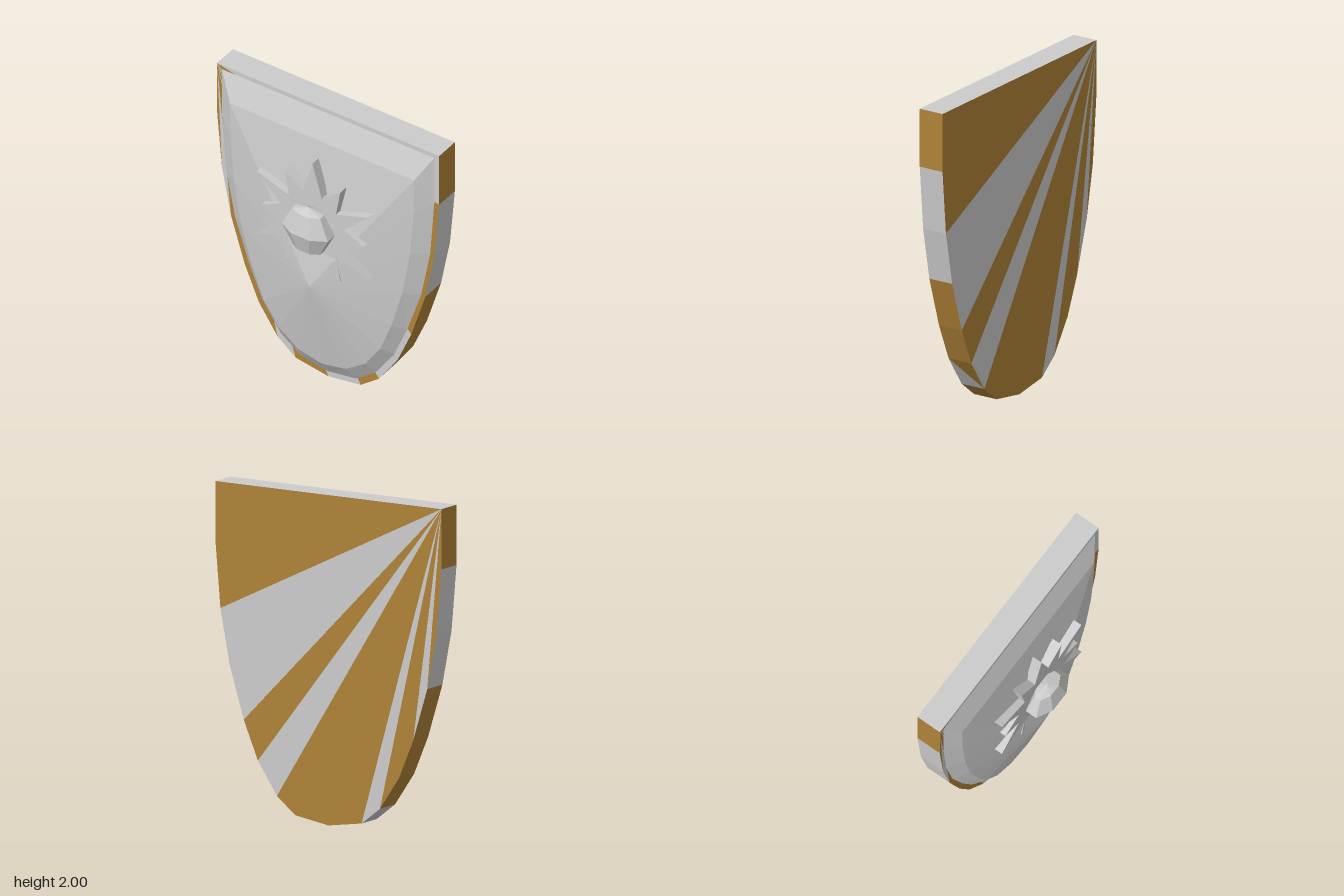
import * as THREE from 'three';

const grey = new THREE.MeshStandardMaterial({ color: 0xcccccc, flatShading: true });
const brown = new THREE.MeshStandardMaterial({ color: 0xaf8237, flatShading: true });

// Right half of an outline, top corner to bottom tip, mirrored to the full loop.
function mirrored(half, z) {
  const right = half.map(([x, y]) => [x, y, z]);
  const left = half.slice(0, -1).reverse().map(([x, y]) => [-x, y, z]);
  return [...right, ...left];
}

function mesh(name, triangles) {
  const geometry = new THREE.BufferGeometry();
  geometry.setAttribute('position', new THREE.Float32BufferAttribute(triangles.flat(2), 3));
  geometry.computeVertexNormals();
  return geometryMesh(name, geometry, grey);
}

function geometryMesh(name, geometry, material) {
  const m = new THREE.Mesh(geometry, material);
  m.name = name;
  return m;
}

// Two triangles per side between a front loop and a back loop.
function band(front, back) {
  return front.map((p, i) => {
    const j = (i + 1) % front.length;
    return [[p, front[j], back[j]], [p, back[j], back[i]]];
  });
}

// Slab with fan caps and walls; 'b' marks brown panels, 'h' a half brown wall.
function slab() {
  const half = [[0.8, 2], [0.8, 1.635], [0.765, 1.235], [0.7, 0.9], [0.6, 0.577],
    [0.5, 0.34], [0.365, 0.14], [0.235, 0.037], [0, 0]];
  const front = mirrored(half, -0.065);
  const back = mirrored(half, -0.23);
  const last = front.length - 1;
  const sets = { g: [], b: [] };
  const frontMarks = 'gbbbggbgbgbbbgb';
  const backMarks = 'bbggbgbbbgbbgbb';
  for (let i = 0; i < last - 1; i++) {
    sets[frontMarks[i]].push([front[last], front[i + 1], front[i]]);
    sets[backMarks[i]].push([back[last], back[i], back[i + 1]]);
  }
  const wallMarks = 'bggbbhbgbgbbbggbg';
  band(front, back).forEach(([a, b], i) => {
    const mark = wallMarks[i];
    sets[mark === 'h' ? 'g' : mark].push(a);
    sets[mark === 'h' ? 'b' : mark].push(b);
  });
  const group = new THREE.Group();
  group.name = 'shieldSlab';
  const greyPanels = mesh('greyPanels', sets.g);
  const brownPanels = mesh('brownPanels', sets.b);
  brownPanels.material = brown;
  group.add(greyPanels, brownPanels);
  return group;
}

// Bevelled edge rising to a shallow faceted peak.
function dome() {
  const outer = mirrored([[0.765, 1.97], [0.765, 1.63], [0.735, 1.235], [0.67, 0.9], [0.57, 0.6],
    [0.475, 0.37], [0.34, 0.175], [0.2, 0.07], [0, 0.037]], -0.065);
  const inner = mirrored([[0.665, 1.8], [0.66, 1.55], [0.635, 1.235], [0.58, 0.92], [0.5, 0.64],
    [0.42, 0.43], [0.31, 0.27], [0.17, 0.17], [0, 0.135]], 0);
  const peak = [0, 0.8, 0.135];
  const fan = inner.map((p, i) => [inner[(i + 1) % inner.length], p, peak]);
  return mesh('shieldDome', [...band(inner, outer).flat(), ...fan]);
}

// Twelve-pointed star, mirrored in both directions about its centre.
function star() {
  const quarter = [[0, 0.465], [0.067, 0.23], [0.2, 0.333], [0.17, 0.157], [0.4, 0.233], [0.23, 0.068], [0.365, 0]];
  const right = [...quarter, ...quarter.slice(0, -1).reverse().map(([x, y]) => [x, -y])];
  const left = right.slice(1, -1).reverse().map(([x, y]) => [-x, y]);
  const shape = new THREE.Shape([...right, ...left].map(([x, y]) => new THREE.Vector2(x, y)));
  const geometry = new THREE.ExtrudeGeometry(shape, { depth: 0.065, bevelEnabled: false });
  geometry.translate(0, 1.235, 0.035);
  return geometryMesh('star', geometry, grey);
}

// Eight-sided boss, flattened front to back.
function boss() {
  const profile = [[0, -0.165], [0.108, -0.135], [0.179, 0], [0.108, 0.135], [0, 0.165]]
    .map(([r, y]) => new THREE.Vector2(r, y));
  const m = geometryMesh('centreBoss', new THREE.LatheGeometry(profile, 8, Math.PI / 8), grey);
  m.scale.z = 0.54;
  m.position.set(0, 1.235, 0.143);
  return m;
}

export function createModel() {
  const model = new THREE.Group();
  model.name = 'shield';
  model.add(slab(), dome(), star(), boss());
  return model;
}
